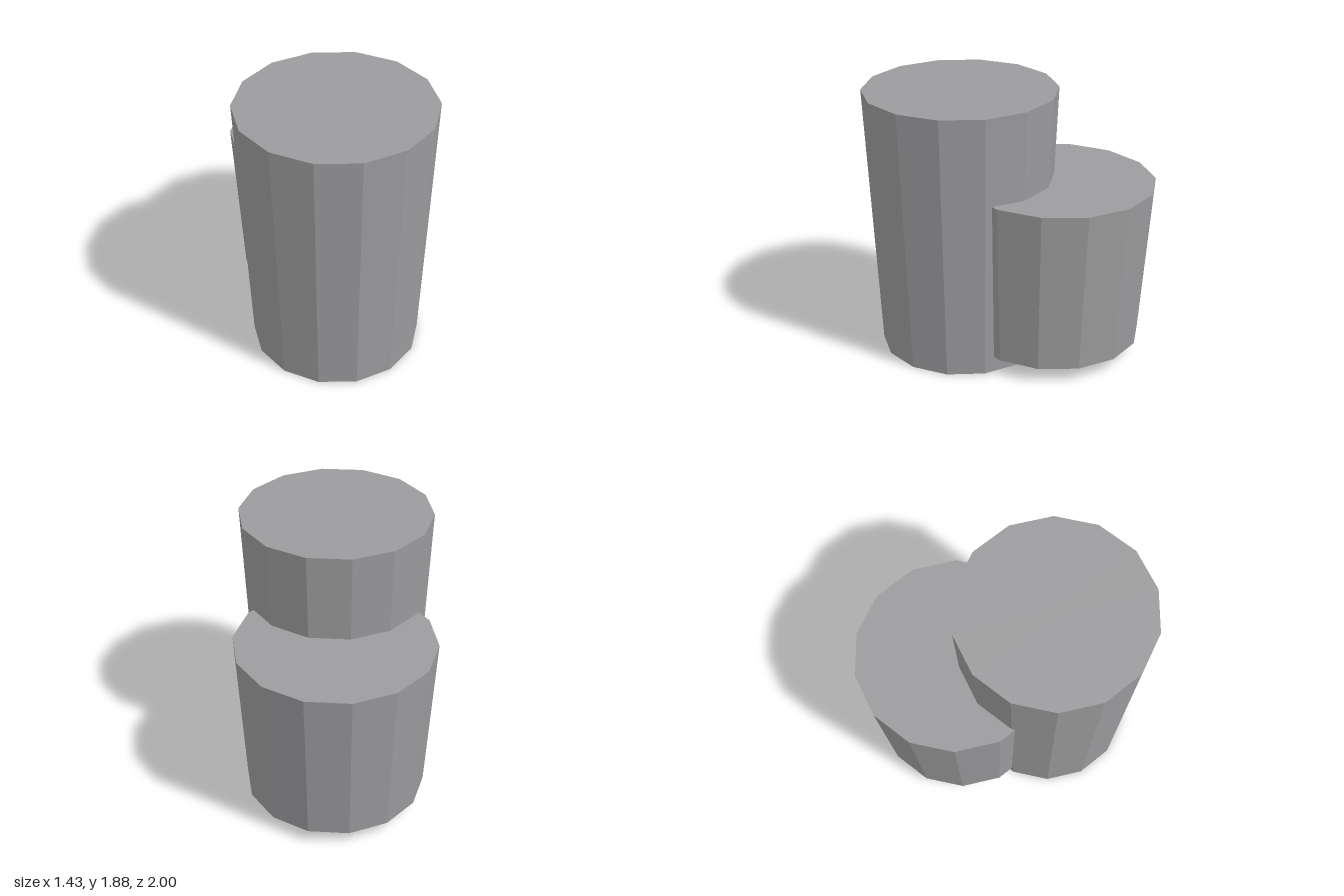
import * as THREE from 'three';

const SIDES = 14;

export function createModel() {
  const model = new THREE.Group();
  model.name = 'taperedDrums';

  const grey = new THREE.MeshStandardMaterial({ color: 0x9c9c9e, flatShading: true });
  grey.name = 'grey';

  // Closed drum, wider at the top, placed by its centre
  function drum(name, rTop, rBottom, height, x, y, z) {
    const mesh = new THREE.Mesh(new THREE.CylinderGeometry(rTop, rBottom, height, SIDES), grey);
    mesh.name = name;
    mesh.position.set(x, y, z);
    model.add(mesh);
    return mesh;
  }

  // Tall drum standing on the ground at the front
  drum('tallDrum', 0.667, 0.584, 1.876, -0.065, 0.938, 0.333);

  // Shorter raised drum behind it, leaning slightly backwards
  const shortDrum = drum('shortDrum', 0.687, 0.625, 1.145, 0.04, 0.68, -0.301);
  shortDrum.rotation.x = -0.019;

  return model;
}
